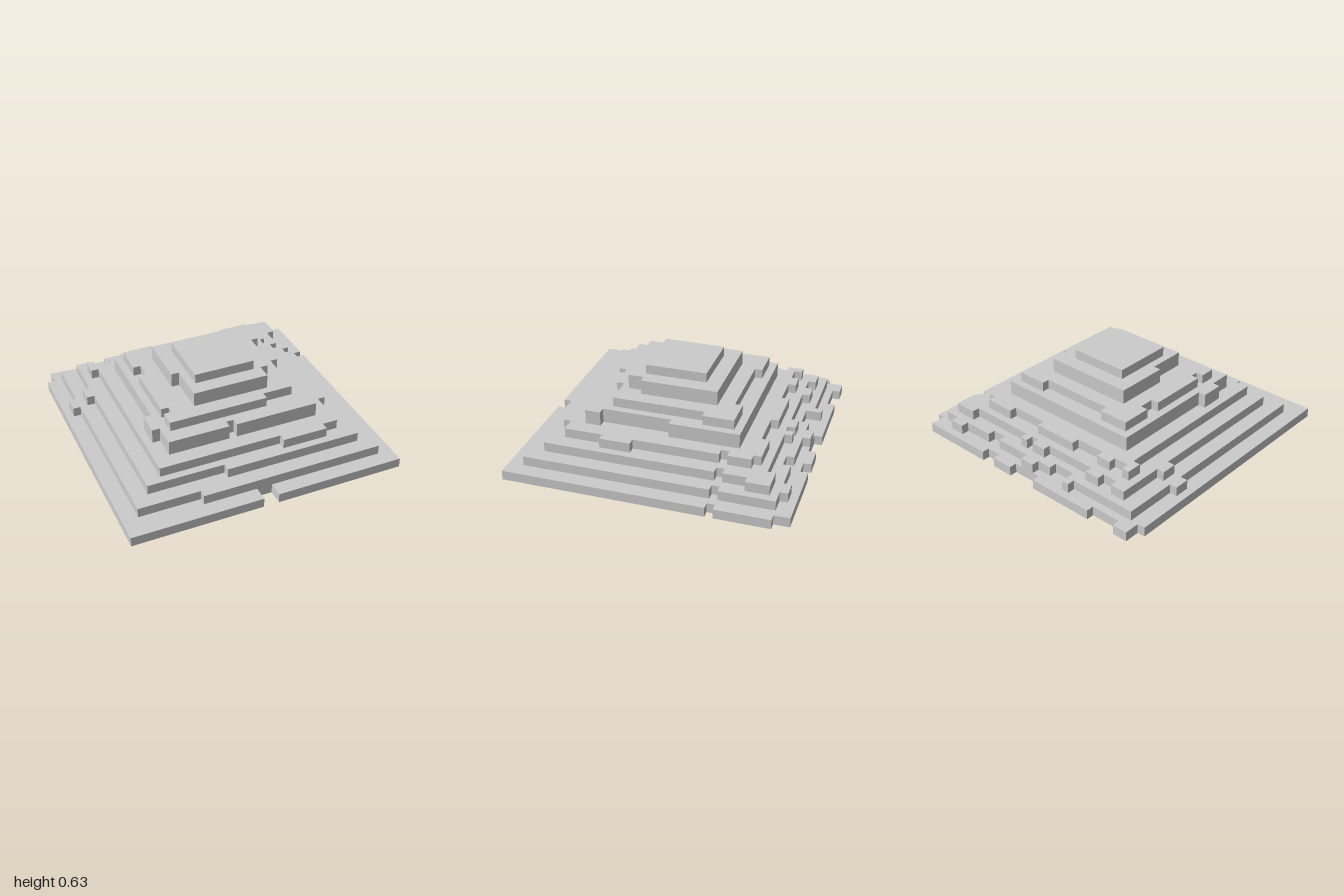
import * as THREE from 'three';

const CELL = 1 / 18;   // plan grid size
const STEP = 0.0348;   // height grid size

// Outline of a slab with crumbled edges, in grid cells. Each side is
// [line, jog, ...places]: the edge starts on its line and at each place
// switches between line and line + jog. Sides run clockwise from above.
function outline({ back, right, front, left }) {
  const sides = [back, right, front, left];
  const points = [];
  const [leftLine, leftJog = 0, ...leftPlaces] = left;
  let cross = leftLine + (leftPlaces.length % 2) * leftJog;   // where the left side ends
  sides.forEach(([line, jog = 0, ...places], i) => {
    const next = sides[(i + 1) % 4][0];
    const along = [cross, ...places, next];
    for (let k = 0; k + 1 < along.length; k++) {
      cross = line + (k % 2) * jog;
      for (const a of [along[k], along[k + 1]]) {
        const [x, z] = i % 2 ? [cross, a] : [a, cross];
        points.push(new THREE.Vector2(x * CELL, -z * CELL));
      }
    }
  });
  // Side corners are shared, so drop the repeats
  return new THREE.Shape(points.filter((p, i) => !p.equals(points.at(i - 1))));
}

export function createModel() {
  const group = new THREE.Group();
  group.name = 'steppedPyramid';
  const stone = new THREE.MeshStandardMaterial({ color: 0xcccccc, flatShading: true });
  let level = 0;

  // Stack one slab, with any loose blocks [x, z, width, depth] along its rim
  function addTier(name, rise, sides, blocks = []) {
    const height = rise * STEP;
    const geometry = new THREE.ExtrudeGeometry(outline(sides), { depth: height, bevelEnabled: false });
    geometry.rotateX(-Math.PI / 2);
    const tier = new THREE.Mesh(geometry, stone);
    tier.name = name;
    tier.position.y = level;
    for (const [x, z, w, d] of blocks) {
      const block = new THREE.Mesh(new THREE.BoxGeometry(w * CELL, height, d * CELL), stone);
      block.name = 'rimBlock';
      block.position.set((x + w / 2) * CELL, height / 2, (z + d / 2) * CELL);
      tier.add(block);
    }
    group.add(tier);
    level += height;
  }

  addTier('baseTier', 2, {
    back: [-18, 1, -15, -11, -2, 2, 5, 7], right: [17, 1, -16, -9, -8],
    front: [18, -2, 1, -1], left: [-18, 1, -16],
  });
  addTier('secondTier', 2, {
    back: [-16, 1, -6, -3, 6, 8], right: [16, -1, -9, -8],
    front: [16, -1, -8], left: [-16, -1, -7, -9],
  }, [[-7, -17, 1, 1], [-1, -17, 2, 1], [12, -17, 2, 1]]);
  addTier('thirdTier', 2, {
    back: [-15, 1, -12, -10, -8, -1, 1, 2, 3, 12], right: [14, -1, -9, -8],
    front: [14, -1, -4], left: [-14, -1, -7, -9],
  }, [[14, -15, 1, 3]]);
  addTier('fourthTier', 2, {
    back: [-13, 1, -12, -10, -8, -4, 2, 7, 11], right: [12, -1, -9, -8],
    front: [12, 1, 10, 4], left: [-12, -1, -11],
  }, [[12, 3, 1, 4]]);
  addTier('fifthTier', 3, {
    back: [-10], right: [10, -1, -1, 8], front: [10, -1, -1, -2], left: [-10, -1, 7, 4],
  });
  addTier('sixthTier', 2, {
    back: [-9, 1, -5, 5], right: [9, -1, -5], front: [7, 1, 4], left: [-9, 1, 6, 5, -3, -5],
  });
  addTier('seventhTier', 3, {
    back: [-6], right: [6, -1, 4], front: [6], left: [-5, -1, 1],
  });
  addTier('topTier', 2, { back: [-4], right: [4], front: [4], left: [-4] });
  return group;
}
